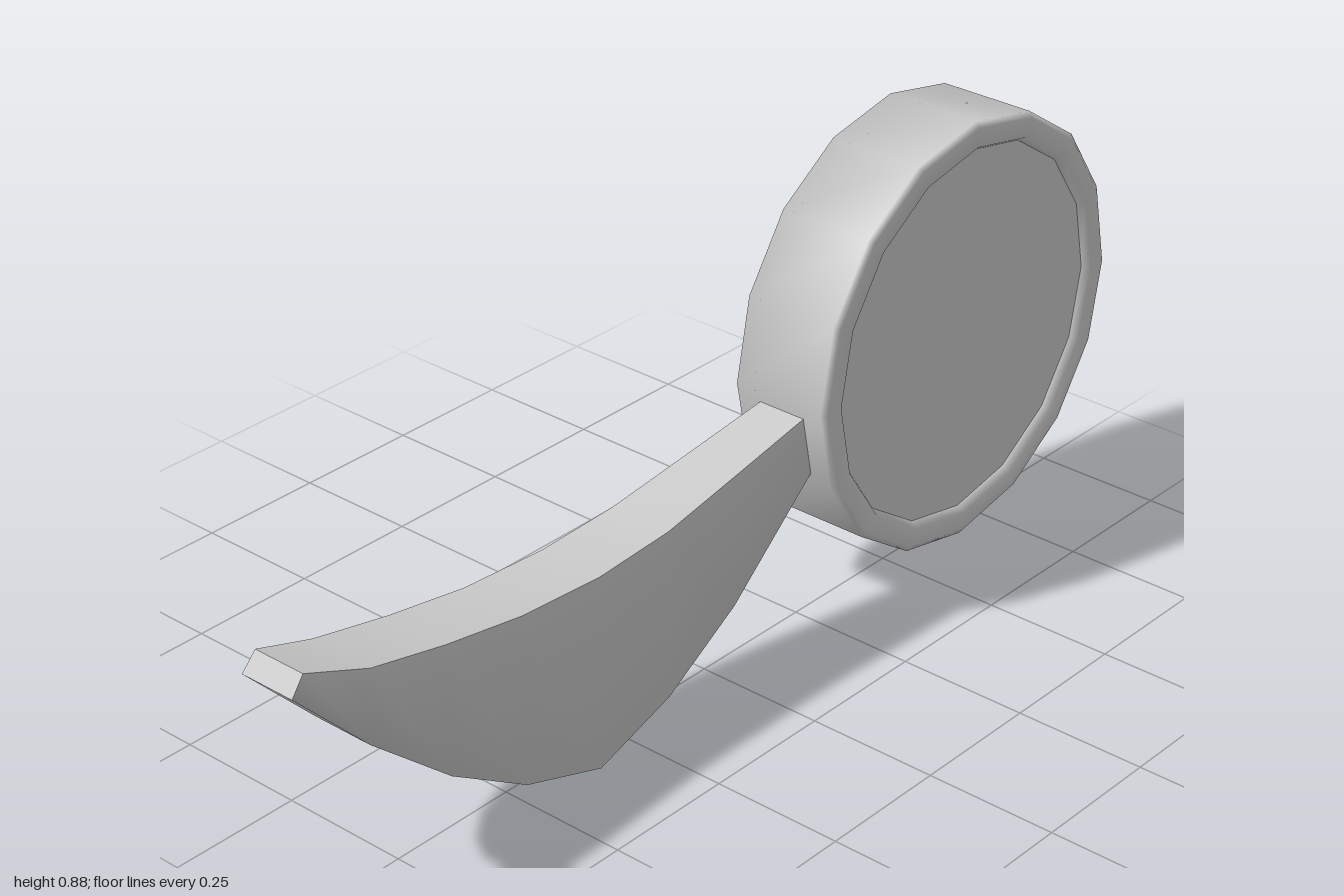
import * as THREE from 'three';
import { mergeGeometries } from 'three/addons/utils/BufferGeometryUtils.js';

const material = new THREE.MeshStandardMaterial({ color: 0xcccccc });

function addMesh(parent, name, geometry) {
  const mesh = new THREE.Mesh(geometry, material);
  mesh.name = name;
  parent.add(mesh);
  return mesh;
}

// Smooth sheet through rows of points; separate sheets meet at sharp edges
function sheet(rows) {
  const n = rows[0].length;
  const index = [];
  for (let i = 0; i < rows.length - 1; i++) {
    for (let j = 0; j < n - 1; j++) {
      const a = i * n + j, b = a + 1, d = a + n, c = d + 1;
      index.push(a, b, c, a, c, d);
    }
  }
  const geometry = new THREE.BufferGeometry();
  geometry.setAttribute('position', new THREE.Float32BufferAttribute(rows.flat(2), 3));
  geometry.setIndex(index);
  geometry.computeVertexNormals();
  return geometry;
}

// Curved crescent arm: stations of top x, y, bottom x, y, front z, top back z, bottom back z
function crescentGeometry() {
  const stations = [
    [-0.975, 0.49, -1, 0.455, 0.055, -0.05, -0.055],
    [-0.85, 0.445, -0.86, 0.31, 0.068, -0.06, -0.052],
    [-0.69, 0.412, -0.69, 0.165, 0.07, -0.06, -0.047],
    [-0.52, 0.385, -0.52, 0.06, 0.07, -0.06, -0.042],
    [-0.34, 0.376, -0.345, 0.004, 0.072, -0.058, -0.04],
    [-0.17, 0.385, -0.17, 0.06, 0.07, -0.055, -0.037],
    [0.02, 0.42, 0, 0.16, 0.068, -0.042, -0.032],
    [0.26, 0.465, 0.26, 0.38, 0.065, -0.025, -0.025],
  ];
  const rings = stations.map(([tx, ty, bx, by, zf, zt, zb]) => [
    [tx, ty, zf], [bx, by, zf], [bx, by, zb], [tx, ty, zt],
  ]);
  const first = rings[0], last = rings[rings.length - 1];
  return mergeGeometries([
    sheet(rings),
    sheet(rings.map((r) => [r[3], r[0]])),
    sheet([[first[3], first[2]], [first[0], first[1]]]),
    sheet([[last[0], last[1]], [last[3], last[2]]]),
  ]);
}

// Sixteen-sided round case: shallow domed back, straight wall and front lip
function caseGeometry() {
  const profile = [
    [0, -0.115], [0.41, -0.08], [0.41, 0.107], [0.4, 0.115], [0.364, 0.115], [0.355, 0.1],
  ].map(([r, h]) => new THREE.Vector2(r, h));
  const geometry = new THREE.LatheGeometry(profile, 16);
  geometry.rotateX(Math.PI / 2);
  // The peak of the back sits slightly off centre
  const p = geometry.attributes.position;
  for (let i = 0; i < p.count; i++) {
    if (Math.hypot(p.getX(i), p.getY(i)) < 0.001) p.setXY(i, 0.02, 0.01);
  }
  return geometry;
}

export function createModel() {
  const model = new THREE.Group();
  model.name = 'crescentWithDisc';

  addMesh(model, 'crescentArm', crescentGeometry());

  const disc = new THREE.Group();
  disc.name = 'disc';
  disc.position.set(0.588, 0.471, 0);
  addMesh(disc, 'discCase', caseGeometry());
  addMesh(disc, 'discFace', new THREE.CircleGeometry(0.355, 16)).position.z = 0.1;
  model.add(disc);

  return model;
}
